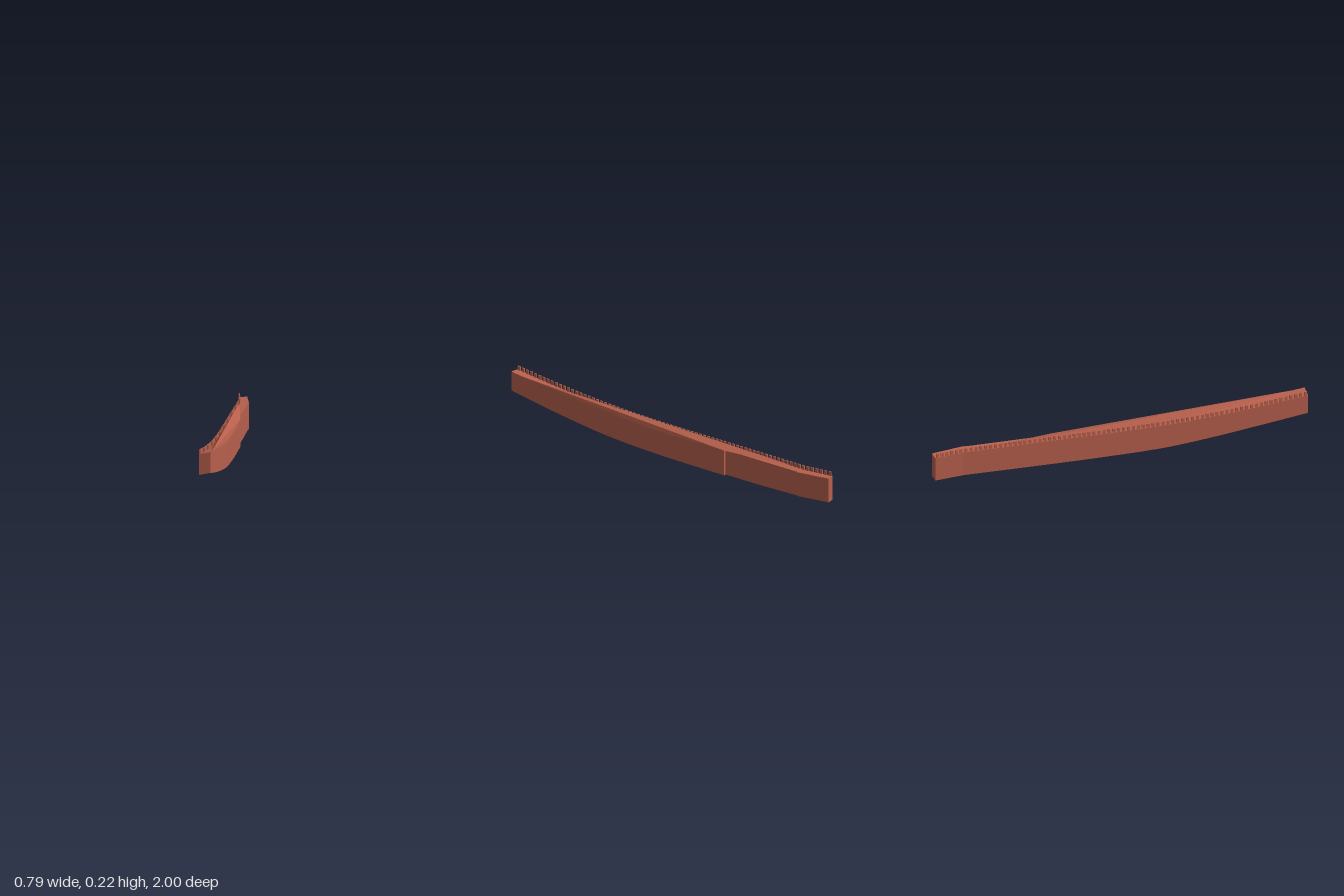
import * as THREE from 'three';

const V = (x, y, z) => new THREE.Vector3(x, y, z);

// smooth edge rows through [x, z, bottom y, top y] control points
function edgeRow(ctrl, n) {
  const low = new THREE.CatmullRomCurve3(ctrl.map(c => V(c[0], c[2], c[1])));
  const high = new THREE.CatmullRomCurve3(ctrl.map(c => V(c[0], c[3], c[1])));
  return Array.from({ length: n + 1 }, (_, i) => ({ lo: low.getPoint(i / n), hi: high.getPoint(i / n) }));
}
const post = (x, z, lo, hi) => ({ lo: V(x, lo, z), hi: V(x, hi, z) });

function meshFrom(name, tris, material) {
  const g = new THREE.BufferGeometry().setFromPoints(tris.flat());
  g.computeVertexNormals();
  const m = new THREE.Mesh(g, material);
  m.name = name;
  return m;
}

export function createModel() {
  const group = new THREE.Group();
  group.name = 'curvedWall';
  const brick = new THREE.MeshStandardMaterial({ color: 0xb8604c, side: THREE.DoubleSide });
  brick.name = 'brick red';

  // outer edge: swelling front part, then a step back and the bent tail
  const start = post(-0.34, 0.995, 0.092, 0.207);
  const outer = edgeRow([
    [-0.313, 0.93, 0.082, 0.2], [-0.219, 0.7, 0.05, 0.173], [-0.097, 0.4, 0.02, 0.153],
    [0.02, 0.1, 0.011, 0.152], [0.186, -0.345, 0.015, 0.167],
  ], 14);
  const tail = [
    post(0.173, -0.348, 0.015, 0.166), post(0.262, -0.575, 0.023, 0.173), post(0.35, -0.8, 0.036, 0.181),
    post(0.356, -0.803, 0.036, 0.181), post(0.396, -0.99, 0.042, 0.187),
  ];
  // inner edge, listed from the front end to the tail
  const inner = edgeRow([
    [-0.398, 0.975, 0.08, 0.195], [-0.291, 0.7, 0.046, 0.168], [-0.174, 0.4, 0.013, 0.15],
    [-0.096, 0.2, 0, 0.147], [0.021, -0.1, 0.003, 0.153], [0.117, -0.345, 0.01, 0.162],
    [0.31, -0.84, 0.03, 0.177],
  ], 18);
  const innerEnd = post(0.35, -1, 0.038, 0.183);

  // side faces all round; the underside is open
  const loop = [start, ...outer, ...tail, innerEnd, ...inner.slice().reverse()];
  const sides = [];
  loop.forEach((a, i) => {
    const b = loop[(i + 1) % loop.length];
    sides.push([a.lo, b.lo, b.hi], [a.lo, b.hi, a.hi]);
  });
  group.add(meshFrom('wallSides', sides, brick));

  // top: one fan to a straight ridge, and a second fan over the tail
  const top = [];
  const fan = (hub, pts) => {
    for (let i = 0; i + 1 < pts.length; i++) top.push([hub.hi, pts[i].hi, pts[i + 1].hi]);
  };
  const bend = inner[inner.length - 1];
  fan(outer[0], [...outer.slice(1), ...inner.slice().reverse(), start]);
  fan(bend, [outer[outer.length - 1], ...tail, innerEnd]);
  group.add(meshFrom('wallTop', top, brick));

  // row of small merlons along the inner edge
  const path = new THREE.CurvePath();
  const line = [...inner, innerEnd].map(p => p.hi);
  for (let i = 0; i + 1 < line.length; i++) path.add(new THREE.LineCurve3(line[i], line[i + 1]));
  const merlons = new THREE.Group();
  merlons.name = 'merlons';
  const count = 76;
  const box = new THREE.BoxGeometry(0.007, 0.03, 0.016);
  for (let i = 0; i < count; i++) {
    const u = (i + 0.5) / count;
    const p = path.getPointAt(u), t = path.getTangentAt(u);
    const m = new THREE.Mesh(box, brick);
    m.name = 'merlon';
    m.rotation.y = Math.atan2(t.x, t.z);
    m.position.set(p.x - t.z * 0.004, p.y + 0.01, p.z + t.x * 0.004);
    merlons.add(m);
  }
  group.add(merlons);
  return group;
}
